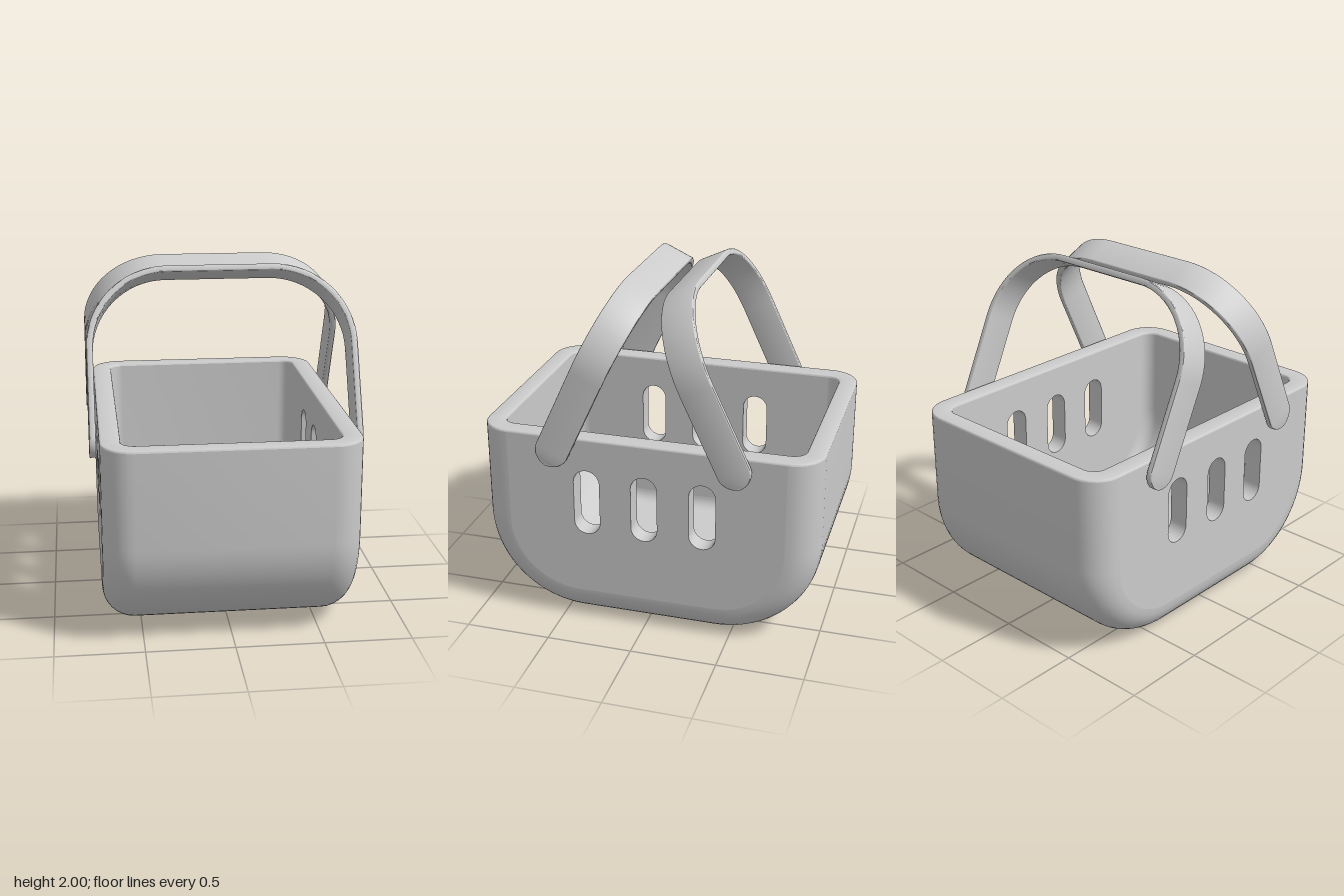
import * as THREE from 'three';
import { toCreasedNormals, mergeGeometries } from 'three/addons/utils/BufferGeometryUtils.js';

const TOP = 1.155, LIP = 0.012;             // rim height and rim edge rounding
const W = 0.72, D = 0.993, R = 0.18;        // outer half width, half depth, edge radius
const WALL = 0.11, WI = 0.605, RI = 0.08;   // wall, inner half width, inner edge radius
const BEND = 0.59;                          // radius of the big lower curves

const material = new THREE.MeshStandardMaterial({ color: 0xcccccc });

// Skin rows of points into a surface
function skin(rows, flip = false, crease = 0.45) {
  const n = rows[0].length, index = [];
  for (let i = 0; i < rows.length - 1; i++) {
    for (let j = 0; j < n - 1; j++) {
      const a = i * n + j, b = a + 1, c = b + n, d = a + n;
      index.push(...(flip ? [a, c, b, a, d, c] : [a, b, c, a, c, d]));
    }
  }
  const g = new THREE.BufferGeometry();
  g.setAttribute('position', new THREE.Float32BufferAttribute(rows.flat(2), 3));
  g.setIndex(index);
  return toCreasedNormals(g, crease);
}

// Closed outline of a rounded rectangle, counter-clockwise
function roundedRect(hx, hy, r, n = 8) {
  const pts = [];
  [[1, 1], [-1, 1], [-1, -1], [1, -1]].forEach(([sx, sy], q) => {
    for (let k = 0; k <= n; k++) {
      const a = (q + k / n) * Math.PI / 2;
      pts.push([sx * (hx - r) + r * Math.cos(a), sy * (hy - r) + r * Math.sin(a)]);
    }
  });
  pts.push(pts[0]);
  return pts;
}

// U-shaped side profile [z, y], moved inward by inset
function uProfile(inset) {
  const r = BEND - inset, half = [[D - inset, TOP - LIP]];
  for (let k = 0; k <= 20; k++) {
    const a = k / 20 * Math.PI / 2;
    half.push([D - BEND + r * Math.cos(a), BEND - r * Math.sin(a)]);
  }
  return [...half, ...half.slice().reverse().map(([z, y]) => [-z, y])];
}

// Front, bottom and back as one band with rounded edges
function band(w, base, r, flip) {
  const half = [], n = 8;
  for (let k = 0; k <= n; k++) {
    const a = k / n * Math.PI / 2;
    half.push([w - r + r * Math.cos(a), base + r - r * Math.sin(a)]);
  }
  const stations = [...half.map(([x, i]) => [-x, i]), ...half.reverse()];
  return skin(stations.map(([x, i]) => uProfile(i).map(([z, y]) => [x, y, z])), flip);
}

const slots = [-0.34, 0, 0.34].map(z =>
  roundedRect(0.077, 0.2, 0.0769, 10).map(([a, b]) => [a + z, b + 0.76]));

// Flat side wall with slots, facing along +x or -x
function sideWall(x, inset, facing) {
  const toVec = ([a, b]) => new THREE.Vector2(a, b);
  const shape = new THREE.Shape(uProfile(inset).map(toVec));
  slots.forEach(s => shape.holes.push(new THREE.Path(s.slice(0, -1).map(toVec))));
  const g = new THREE.ShapeGeometry(shape).toNonIndexed();
  g.deleteAttribute('uv');
  return g.rotateY(facing * Math.PI / 2).translate(x, 0, 0);
}

function rim() {
  const steps = [0, 1, 2, 3].map(k => k / 3 * Math.PI / 2)
    .map(a => [LIP * (1 - Math.cos(a)), TOP - LIP + LIP * Math.sin(a)]);
  const row = (w, d, r, y) => roundedRect(w, d, r).map(([x, z]) => [x, y, z]);
  const outer = steps.map(([o, y]) => row(W - o, D - o, R - o, y));
  const inner = steps.reverse().map(([o, y]) => row(WI + o, D - WALL + o, RI + o, y));
  return skin([...outer, ...inner], true, 0.6);
}

// Flat strap bent over an arch, with round feet
function handleGeometry() {
  const legX = 0.752, top = 0.951, bend = 0.45, foot = 0.098, half = [];
  for (let k = 0; k <= 12; k++) {
    const a = k / 12 * Math.PI / 2;
    half.push({ x: legX, y: -foot * Math.cos(a), nx: 1, ny: 0, w: foot * Math.sin(a) });
  }
  for (let k = 0; k <= 16; k++) {
    const a = k / 16 * Math.PI / 2, nx = Math.cos(a), ny = Math.sin(a);
    half.push({ x: legX - bend + bend * nx, y: top - bend + bend * ny, nx, ny, w: foot });
  }
  const path = [...half, ...half.slice().reverse().map(p => ({ ...p, x: -p.x, nx: -p.nx }))];
  return skin(path.map(p => roundedRect(0.019, p.w, Math.min(0.01, p.w), 3)
    .map(([t, w]) => [p.x + p.nx * t, p.y + p.ny * t, w])), true);
}

export function createModel() {
  const model = new THREE.Group();
  const basket = new THREE.Group();
  basket.name = 'basket';
  const add = (parent, name, geometry) => {
    const mesh = new THREE.Mesh(geometry, material);
    mesh.name = name;
    parent.add(mesh);
    return mesh;
  };

  // Shell
  add(basket, 'outerShell', band(W, 0, R, false));
  add(basket, 'innerShell', band(WI, WALL, RI, true));
  add(basket, 'rim', rim());

  // Slotted sides
  for (const s of [1, -1]) {
    const tunnels = slots.map(slot => skin([WI, W].map(x => s * x).sort((a, b) => a - b)
      .map(x => slot.map(([z, y]) => [x, y, z]))));
    add(basket, s > 0 ? 'leftSide' : 'rightSide', mergeGeometries([
      sideWall(s * W, R, s), sideWall(s * WI, WALL + RI, -s), ...tunnels]));
  }
  model.add(basket);

  // Two handles leaning towards each other
  const strap = handleGeometry();
  for (const s of [1, -1]) {
    const pivot = new THREE.Group();
    pivot.name = s > 0 ? 'frontHandle' : 'backHandle';
    const mesh = add(pivot, 'handleStrap', strap);
    mesh.position.set(0, 1.08, 0.525);
    mesh.rotation.x = -25 * Math.PI / 180;
    pivot.rotation.y = s > 0 ? 0 : Math.PI;
    model.add(pivot);
  }
  return model;
}
